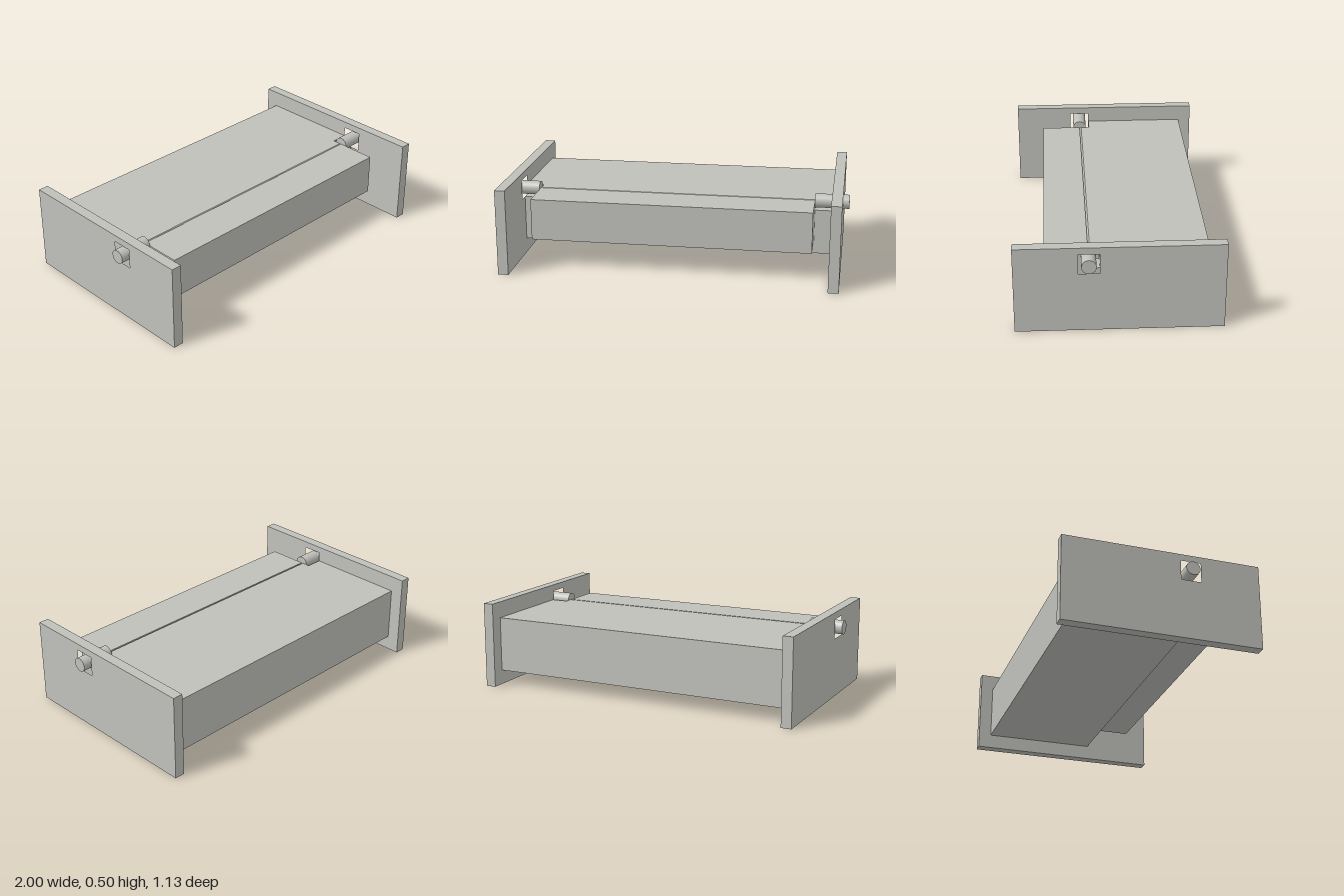
import * as THREE from 'three';

export function createModel() {
  const model = new THREE.Group();
  const grey = new THREE.MeshStandardMaterial({ color: 0xc0c0bb });
  grey.name = 'light grey';

  const add = (name, geometry) => {
    const mesh = new THREE.Mesh(geometry, grey);
    mesh.name = name;
    model.add(mesh);
    return mesh;
  };
  const outline = (pts) => pts.map(([z, y]) => new THREE.Vector2(-z, y));

  // Extrude a side profile given as [z, y] points from x0 to x1
  const extrudeX = (pts, x0, x1, hole) => {
    const shape = new THREE.Shape(outline(pts));
    if (hole) shape.holes.push(new THREE.Path(outline(hole)));
    return new THREE.ExtrudeGeometry(shape, { depth: x1 - x0, bevelEnabled: false })
      .rotateY(Math.PI / 2)
      .translate(x0, 0, 0);
  };
  const rect = (z0, z1, y0, y1) => [[z0, y0], [z1, y0], [z1, y1], [z0, y1]];

  const seam = 0.164, top = 0.405, inner = 0.805, wall = 0.905;

  // Main block: small chamfer along the hinge seam, stepped notches at the ends
  add('mainBlock', extrudeX(
    [[-0.488, 0.085], [seam, 0.085], [seam, top - 0.01], [seam - 0.01, top], [-0.488, top]],
    -inner, inner));
  const notched = [[-0.488, 0.085], [seam, 0.085], [seam, 0.346], [0.104, 0.346], [0.104, top], [-0.488, top]];

  // Hinged front flap
  add('frontFlap', extrudeX(rect(seam, 0.4, 0.165, top), -inner, inner));

  for (const [side, s] of [['left', 1], ['right', -1]]) {
    const span = (a, b) => (s > 0 ? [a, b] : [-b, -a]);
    add(side + 'BlockEnd', extrudeX(notched, ...span(inner, wall)));
    // End plate with a square window around the pin
    add(side + 'EndPlate', extrudeX(
      rect(-0.563, 0.563, 0, 0.5), ...span(wall, 0.965), rect(0.106, 0.221, 0.346, 0.461)));
    // Hinge pin
    const pin = add(side + 'HingePin', new THREE.CylinderGeometry(0.04, 0.04, 1 - inner, 40).rotateZ(Math.PI / 2));
    pin.position.set(s * (1 + inner) / 2, top, seam);
  }
  return model;
}
